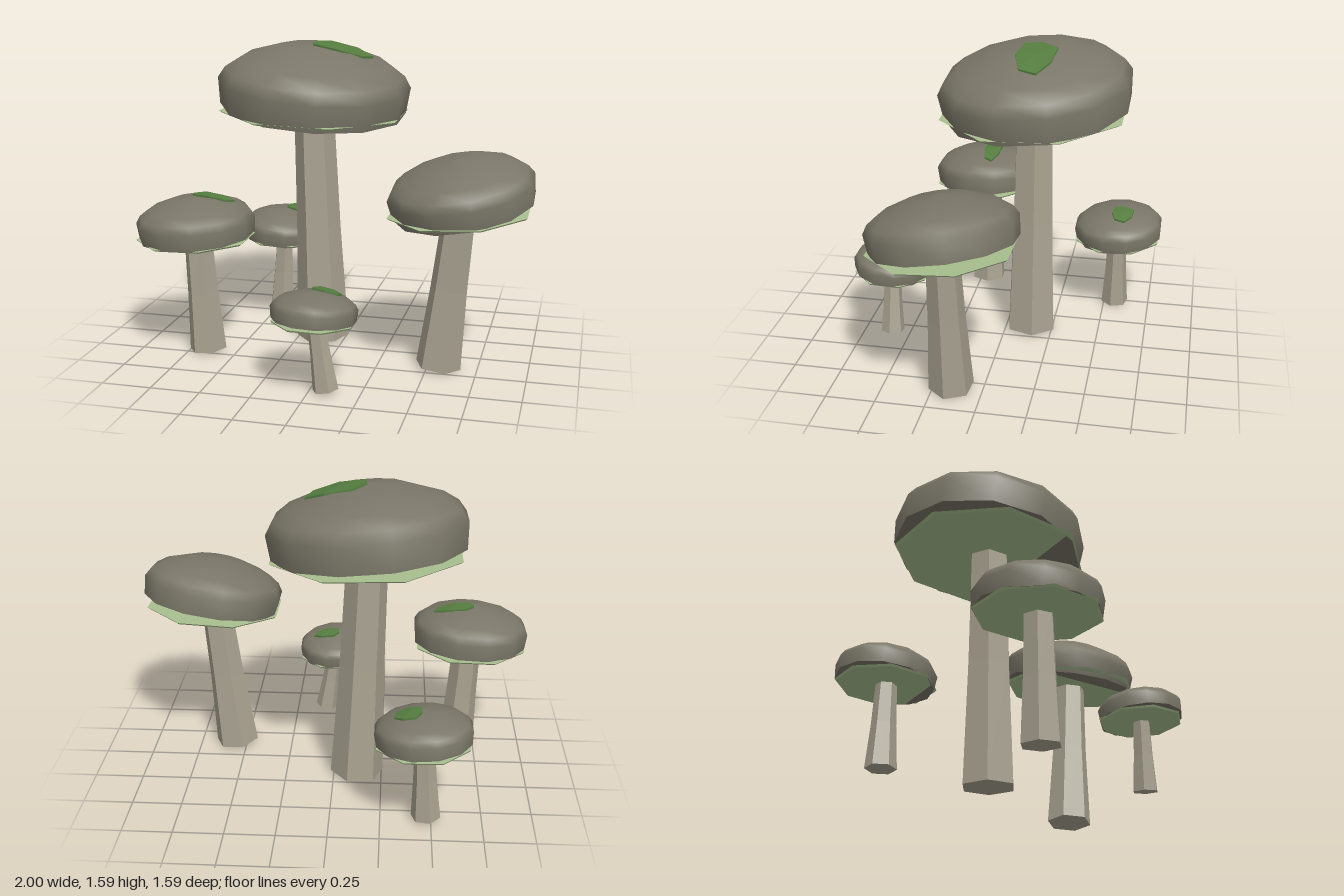
import * as THREE from 'three';

const capMat = new THREE.MeshStandardMaterial({ color: 0x7a7668 });
const stemMat = new THREE.MeshStandardMaterial({ color: 0xa8a290 });
const gillMat = new THREE.MeshStandardMaterial({ color: 0xa9c08f });
const mossMat = new THREE.MeshStandardMaterial({ color: 0x557d40 });
capMat.name = 'capBrown';
stemMat.name = 'stemBeige';
gillMat.name = 'gillGreen';
mossMat.name = 'mossGreen';

// Cap profile as [radius, height] for a cap of radius 1
const PROFILE = [[0.97, 0], [1, 0.28], [0.93, 0.4], [0.78, 0.51], [0.4, 0.65], [0, 0.69]];
const SIDES = 12;
const FLAT = 1 / Math.cos(Math.PI / SIDES); // corner radius from flat radius

const UP = new THREE.Vector3(0, 1, 0);
const tilt = (sx, sz) =>
  new THREE.Quaternion().setFromUnitVectors(UP, new THREE.Vector3(-sx, 1, -sz).normalize());

function mesh(name, geo, mat) {
  const m = new THREE.Mesh(geo, mat);
  m.name = name;
  return m;
}

function faceted(geo) {
  const g = geo.toNonIndexed();
  g.computeVertexNormals();
  return g;
}

// Height of the dome above its base at distance r from the axis
function domeHeight(r) {
  for (let i = PROFILE.length - 1; i > 1; i--) {
    const [r0, h0] = PROFILE[i], [r1, h1] = PROFILE[i - 1];
    if (r <= r1) return h0 + (h1 - h0) * (r - r0) / (r1 - r0);
  }
  return PROFILE[1][1];
}

// Six-sided stem, flared at the foot and leaning from base to top
function makeStem({ base, top, rBase, rTop, height, turn }) {
  const geo = new THREE.CylinderGeometry(1, 1, 1, 6, 2, false, turn);
  const p = geo.attributes.position;
  const lean = (top[0] - base[0]) / height;
  for (let i = 0; i < p.count; i++) {
    const t = p.getY(i) + 0.5;
    const r = rTop + (rBase - rTop) * (t < 0.25 ? 1 : t < 0.75 ? 0.35 : 0);
    const lx = p.getX(i) * r, lz = p.getZ(i) * r;
    p.setXYZ(i,
      base[0] + (top[0] - base[0]) * t + lx,
      0.013 + t * height - lean * lx,
      base[1] + (top[1] - base[1]) * t + lz);
  }
  return mesh('stem', faceted(geo), stemMat);
}

// Ragged moss plate that follows the dome
function makeMoss(R, cx, cz, rx, rz) {
  const geo = new THREE.CylinderGeometry(1, 1, 0.01, 7, 1);
  const p = geo.attributes.position;
  for (let i = 0; i < p.count; i++) {
    const a = Math.atan2(p.getZ(i), p.getX(i));
    const k = 1 + 0.1 * Math.sin(3 * a + 1);
    const x = cx + p.getX(i) * rx * k, z = cz + p.getZ(i) * rz * k;
    p.setXYZ(i, x, R * domeHeight(Math.hypot(x, z) / R) + p.getY(i) + 0.008, z);
  }
  return mesh('moss', faceted(geo), mossMat);
}

function makeMushroom({ name, c, R, y, slope, gillY, moss, stem }) {
  const g = new THREE.Group();
  g.name = name;
  const [sx, sz] = slope;

  // Tilted cap: smooth dome and flat underside
  const cap = new THREE.Group();
  cap.name = 'cap';
  const pts = PROFILE.map(([r, h]) => new THREE.Vector2(r * R * FLAT, h * R));
  cap.add(mesh('dome', new THREE.LatheGeometry(pts, SIDES, Math.PI / SIDES), capMat));
  const under = new THREE.CircleGeometry(0.97 * R * FLAT, SIDES, Math.PI / SIDES);
  cap.add(mesh('underside', under.rotateX(Math.PI / 2), capMat));
  if (moss) {
    const [mx, mz, rx, rz] = moss;
    cap.add(makeMoss(R, mx - c[0] + 0.37 * sx * R, mz - c[1] + 0.37 * sz * R, rx, rz));
  }
  cap.position.set(c[0] + 0.29 * R * sx, y, c[1] + 0.29 * R * sz);
  cap.quaternion.copy(tilt(sx, sz));
  g.add(cap);

  // Thin gill disc, flatter than the cap, showing under its raised side
  const gills = mesh('gills',
    new THREE.CylinderGeometry(R * 1.03, R * 1.0, 0.009, 8, 1, false, Math.PI / 8), gillMat);
  gills.position.set(c[0], gillY, c[1]);
  gills.quaternion.copy(tilt(sx * 0.35, sz * 0.35));
  g.add(gills);

  g.add(makeStem(stem));
  return g;
}

const MUSHROOMS = [
  { name: 'tallMushroom', c: [-0.16, -0.135], R: 0.482, y: 1.25, slope: [-0.09, -0.1], gillY: 1.235,
    moss: [-0.02, -0.155, 0.16, 0.105],
    stem: { base: [-0.12, -0.135], top: [-0.165, -0.135], rBase: 0.138, rTop: 0.103, height: 1.24, turn: 0.7 } },
  { name: 'leaningMushroom', c: [0.645, 0.168], R: 0.352, y: 0.84, slope: [0.17, -0.16], gillY: 0.817,
    stem: { base: [0.555, 0.16], top: [0.645, 0.168], rBase: 0.115, rTop: 0.08, height: 0.82, turn: 0.4 } },
  { name: 'leftMushroom', c: [-0.705, 0.205], R: 0.295, y: 0.623, slope: [0.05, -0.05], gillY: 0.612,
    moss: [-0.62, 0.175, 0.11, 0.05],
    stem: { base: [-0.655, 0.205], top: [-0.695, 0.205], rBase: 0.097, rTop: 0.073, height: 0.61, turn: 0.6 } },
  { name: 'backMushroom', c: [-0.45, -0.565], R: 0.234, y: 0.442, slope: [-0.07, -0.08], gillY: 0.434,
    moss: [-0.38, -0.59, 0.07, 0.06],
    stem: { base: [-0.475, -0.56], top: [-0.457, -0.56], rBase: 0.074, rTop: 0.05, height: 0.43, turn: 0.3 } },
  { name: 'frontMushroom', c: [0.025, 0.59], R: 0.202, y: 0.36, slope: [-0.04, 0.09], gillY: 0.352,
    moss: [0.075, 0.555, 0.075, 0.043],
    stem: { base: [0.08, 0.595], top: [0.032, 0.595], rBase: 0.064, rTop: 0.043, height: 0.345, turn: 0.5 } },
];

export function createModel() {
  const model = new THREE.Group();
  model.name = 'mushroomCluster';
  for (const m of MUSHROOMS) model.add(makeMushroom(m));
  return model;
}
